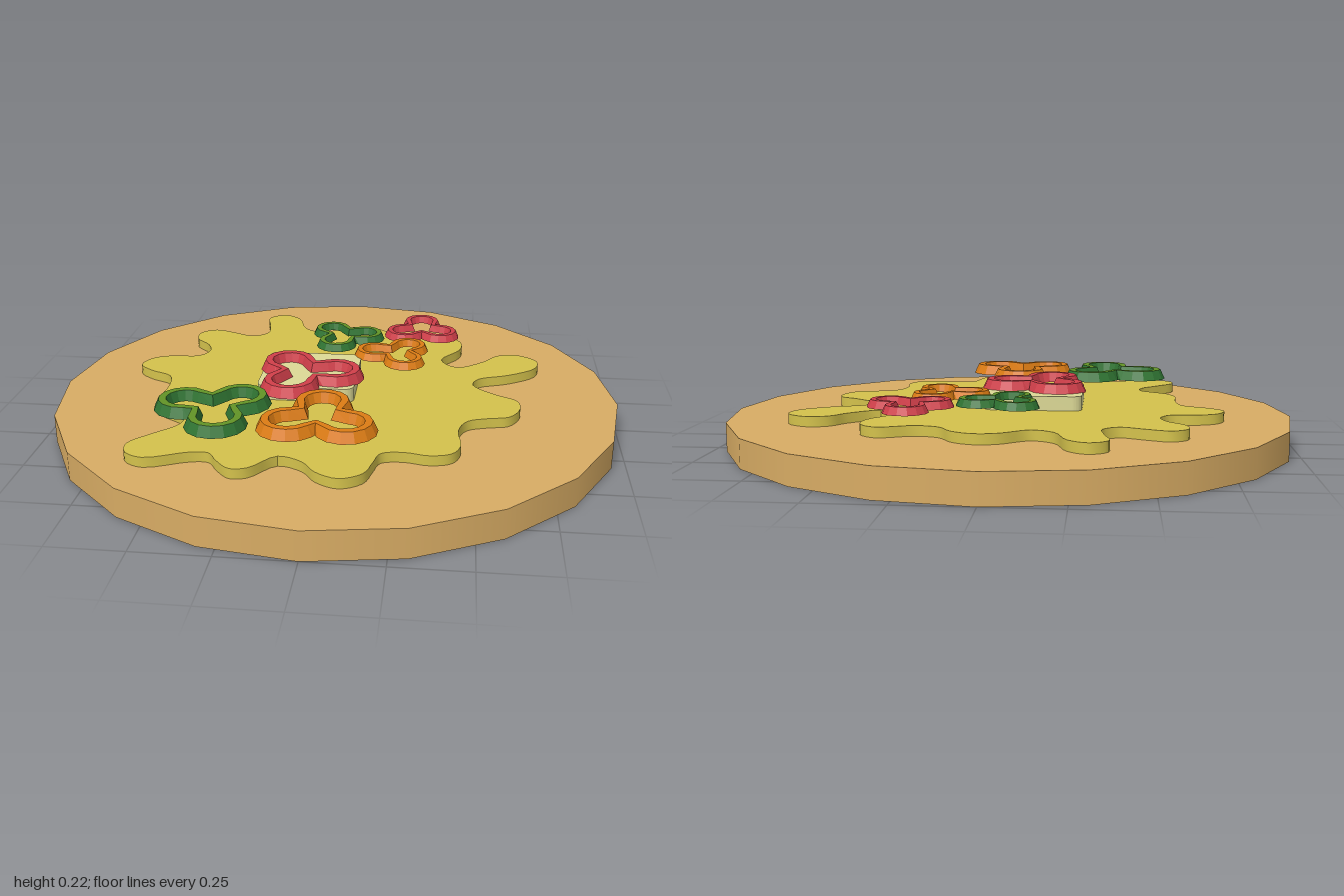
import * as THREE from 'three';
import { toCreasedNormals } from 'three/addons/utils/BufferGeometryUtils.js';

const paint = (name, color) => {
  const m = new THREE.MeshStandardMaterial({ color });
  m.name = name;
  return m;
};

function part(name, geometry, material, y = 0) {
  const mesh = new THREE.Mesh(geometry, material);
  mesh.name = name;
  mesh.position.y = y;
  return mesh;
}

// Flat slab standing on y = 0, from an outline drawn in x and -z
function slab(shape, depth, segments) {
  const g = new THREE.ExtrudeGeometry(shape, { depth, bevelEnabled: false, curveSegments: segments });
  return toCreasedNormals(g.rotateX(-Math.PI / 2), 0.6);
}

// Wavy puddle outline, x and z
const PUDDLE = [
  [-0.36, -0.7], [-0.3, -0.74], [-0.235, -0.7], [-0.19, -0.58], [-0.115, -0.545], [-0.02, -0.61],
  [0.055, -0.625], [0.13, -0.59], [0.18, -0.52], [0.26, -0.5], [0.38, -0.54], [0.44, -0.49],
  [0.44, -0.4], [0.37, -0.28], [0.43, -0.21], [0.53, -0.28], [0.58, -0.345], [0.65, -0.365],
  [0.73, -0.31], [0.72, -0.23], [0.62, -0.15], [0.51, -0.1], [0.49, -0.04], [0.57, 0.04],
  [0.64, 0.085], [0.65, 0.155], [0.61, 0.23], [0.54, 0.25], [0.47, 0.28], [0.44, 0.36],
  [0.45, 0.47], [0.42, 0.535], [0.35, 0.555], [0.27, 0.54], [0.2, 0.555], [0.18, 0.62],
  [0.155, 0.7], [0.085, 0.74], [0.01, 0.705], [-0.04, 0.64], [-0.12, 0.61], [-0.2, 0.7],
  [-0.255, 0.71], [-0.305, 0.66], [-0.34, 0.61], [-0.395, 0.61], [-0.54, 0.665], [-0.605, 0.63],
  [-0.615, 0.565], [-0.555, 0.49], [-0.485, 0.41], [-0.48, 0.35], [-0.58, 0.27], [-0.605, 0.2],
  [-0.6, 0.085], [-0.62, -0.01], [-0.7, -0.055], [-0.755, -0.11], [-0.73, -0.18], [-0.66, -0.215],
  [-0.565, -0.225], [-0.53, -0.28], [-0.55, -0.35], [-0.605, -0.41], [-0.61, -0.485], [-0.555, -0.525],
  [-0.475, -0.5], [-0.395, -0.47], [-0.34, -0.51], [-0.345, -0.6],
];

function puddleGeometry() {
  const curve = new THREE.CatmullRomCurve3(PUDDLE.map(([x, z]) => new THREE.Vector3(x, -z, 0)), true);
  const points = curve.getPoints(280).slice(0, -1).map((p) => new THREE.Vector2(p.x, p.y));
  return slab(new THREE.Shape(points), 0.035, 1);
}

function roundedSquare(half, r) {
  const s = new THREE.Shape();
  const c = half - r;
  [[c, c], [-c, c], [-c, -c], [c, -c]].forEach(([x, y], i) => {
    s.absarc(x, y, r, (i * Math.PI) / 2, ((i + 1) * Math.PI) / 2, false);
  });
  return s;
}

// Three-lobed outline: a wide arc per lobe, then a notch between lobes
function trefoil(r, notch, y) {
  const points = [];
  const steps = 9;
  const sweep = THREE.MathUtils.degToRad(115);
  for (let lobe = 0; lobe < 3; lobe++) {
    const a = (lobe * Math.PI * 2) / 3;
    for (let i = 0; i <= steps; i++) {
      const t = a - sweep + (2 * sweep * i) / steps;
      points.push([0.108 * Math.cos(a) + r * Math.cos(t), y, 0.108 * Math.sin(a) + r * Math.sin(t)]);
    }
    points.push([notch * Math.cos(a + Math.PI / 3), y, notch * Math.sin(a + Math.PI / 3)]);
  }
  return points;
}

// Sloped pepper ring lofted through four outlines; group material 1 is the top face
function pepperGeometry() {
  const h = 0.036;
  const rings = [
    trefoil(0.104, 0.098, 0), trefoil(0.087, 0.082, h),
    trefoil(0.062, 0.058, h), trefoil(0.05, 0.042, 0),
  ];
  const n = rings[0].length;
  const index = [];
  const g = new THREE.BufferGeometry();
  for (let l = 0; l < 4; l++) {
    for (let i = 0; i < n; i++) {
      const j = (i + 1) % n;
      const next = ((l + 1) % 4) * n;
      const a = l * n + i, b = l * n + j, c = next + j, d = next + i;
      index.push(a, d, c, a, c, b);
    }
  }
  g.setAttribute('position', new THREE.Float32BufferAttribute(rings.flat(2), 3));
  g.setIndex(index);
  const flat = g.toNonIndexed();
  flat.computeVertexNormals();
  flat.clearGroups();
  for (let l = 0; l < 4; l++) flat.addGroup(l * n * 6, n * 6, l === 1 ? 1 : 0);
  return flat;
}

export function createModel() {
  const model = new THREE.Group();
  model.name = 'toppedFlatbread';

  const crust = paint('crust', 0xd8ac64);
  const sauce = paint('sauce', 0xd4c24c);
  const butter = paint('butter', 0xdcd996);
  const greenSkin = paint('greenSkin', 0x2f7332);
  const greenFlesh = paint('greenFlesh', 0x629426);
  const red = paint('red', 0xd03f4a);
  const orange = paint('orange', 0xdc7c14);

  // Base, puddle and pat
  model.add(part('base', new THREE.CylinderGeometry(1, 1, 0.1, 20), crust, 0.05));
  model.add(part('puddle', puddleGeometry(), sauce, 0.1));
  const pat = part('butterPat', slab(roundedSquare(0.17, 0.035), 0.05, 6), butter, 0.135);
  pat.position.x = -0.095;
  model.add(pat);

  // Pepper rings: x, z, turn in degrees, scale, skin, top
  const ring = pepperGeometry();
  const peppers = [
    ['largeRedPepper', -0.107, 0.068, -8, 1, red, red],
    ['largeGreenPepper', -0.365, 0.4, -45, 1, greenSkin, greenFlesh],
    ['largeOrangePepper', -0.01, 0.447, -90, 1, orange, orange],
    ['smallGreenPepper', -0.007, -0.347, -12, 0.73, greenSkin, greenFlesh],
    ['smallOrangePepper', 0.2, -0.182, 63, 0.73, orange, orange],
    ['smallRedPepper', 0.287, -0.45, -92, 0.73, red, red],
  ];
  for (const [name, x, z, turn, size, skin, top] of peppers) {
    const mesh = part(name, ring, [skin, top], 0.182);
    mesh.position.x = x;
    mesh.position.z = z;
    mesh.rotation.y = -THREE.MathUtils.degToRad(turn);
    mesh.scale.setScalar(size);
    model.add(mesh);
  }
  return model;
}
